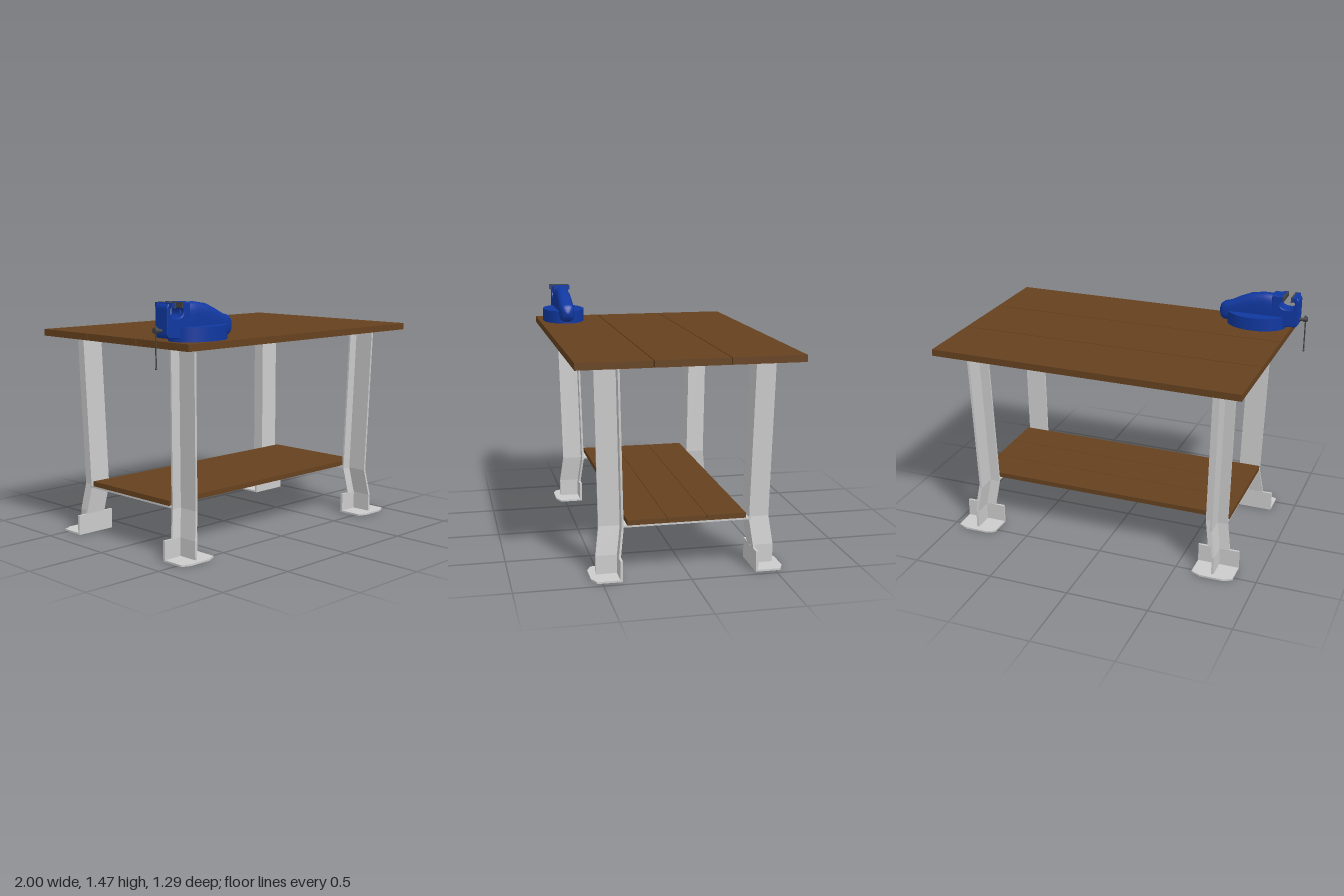
import * as THREE from 'three';

const steel = new THREE.MeshStandardMaterial({ color: 0xcccccc, flatShading: true, side: THREE.DoubleSide });
const wood = new THREE.MeshStandardMaterial({ color: 0x66421f });
const blue = new THREE.MeshStandardMaterial({ color: 0x1038a0 });
const dark = new THREE.MeshStandardMaterial({ color: 0x444444 });

const CX = 0.05;       // centre of the table in x
const LEG_X = 0.785;   // leg distance from that centre
const VZ = 0.483;      // vise centre in z

function add(parent, name, geometry, material) {
  const mesh = new THREE.Mesh(geometry, material);
  mesh.name = name;
  parent.add(mesh);
  return mesh;
}

// Box given by its minimum and maximum on each axis
function box(parent, name, material, x0, x1, y0, y1, z0, z1) {
  const g = new THREE.BoxGeometry(x1 - x0, y1 - y0, z1 - z0);
  g.translate((x0 + x1) / 2, (y0 + y1) / 2, (z0 + z1) / 2);
  return add(parent, name, g, material);
}

// Upright bar bent inward at the waist
function bentBar(w, d, cx, cz, sx, sz) {
  const levels = [[0, 0], [0.12, 0], [0.285, 0.025], [1.205, 0]];
  const g = new THREE.BoxGeometry(w, 3, d, 1, 3, 1);
  const p = g.attributes.position;
  for (let i = 0; i < p.count; i++) {
    const [y, shift] = levels[Math.round(p.getY(i) + 1.5)];
    p.setXYZ(i, p.getX(i) + cx - sx * shift, y, p.getZ(i) + cz - sz * shift * 0.85);
  }
  g.computeVertexNormals();
  return g;
}

// T-section leg with an upright foot plate and a chamfered base plate
function leg(sx, sz) {
  const group = new THREE.Group();
  group.name = 'leg';
  const x = CX + sx * LEG_X;
  add(group, 'legFlange', bentBar(0.136, 0.012, x, sz * 0.391, sx, sz), steel);
  add(group, 'legWeb', bentBar(0.014, 0.125, x, sz * 0.457, sx, sz), steel);
  const foot = new THREE.BoxGeometry(0.254, 0.122, 0.014);
  foot.translate(x, 0.061, sz * 0.391);
  add(group, 'footUpright', foot, steel);
  const outline = [[-0.127, 0.385], [0.127, 0.385], [0.127, 0.53], [0.07, 0.556], [-0.07, 0.556], [-0.127, 0.53]];
  const shape = new THREE.Shape(outline.map(([u, v]) => new THREE.Vector2(x + u, sz * v)));
  const base = new THREE.ExtrudeGeometry(shape, { depth: 0.011, bevelEnabled: false });
  base.rotateX(Math.PI / 2).translate(0, 0.011, 0);
  add(group, 'footBase', base, steel);
  return group;
}

// Rounded body lofted along x; stations are [x, top, bottom, half width]
function loft(stations, zc, sides = 28) {
  const pos = [], idx = [];
  const soft = (v) => Math.sign(v) * Math.pow(Math.abs(v), 0.7);
  for (const [x, top, bottom, hw] of stations) {
    for (let j = 0; j < sides; j++) {
      const a = (j / sides) * Math.PI * 2;
      pos.push(x, (top + bottom) / 2 + soft(Math.sin(a)) * (top - bottom) / 2, zc + soft(Math.cos(a)) * hw);
    }
  }
  for (let i = 0; i < stations.length - 1; i++) {
    for (let j = 0; j < sides; j++) {
      const k = (j + 1) % sides;
      const a = i * sides + j, b = a + sides, c = i * sides + k, d = c + sides;
      idx.push(a, b, c, b, d, c);
    }
  }
  const g = new THREE.BufferGeometry();
  g.setAttribute('position', new THREE.Float32BufferAttribute(pos, 3));
  g.setIndex(idx);
  g.computeVertexNormals();
  return g;
}

function vise() {
  const group = new THREE.Group();
  group.name = 'vise';

  // Oval base on the tabletop
  const base = new THREE.CylinderGeometry(1, 1, 0.08, 48);
  base.scale(0.188, 1, 0.134).translate(-0.68, 1.29, VZ);
  add(group, 'viseBase', base, blue);

  // Rounded rear body
  add(group, 'viseBody', loft([
    [-0.835, 1.43, 1.29, 0.03], [-0.815, 1.462, 1.265, 0.05], [-0.72, 1.463, 1.262, 0.05],
    [-0.64, 1.45, 1.262, 0.05], [-0.57, 1.42, 1.262, 0.05], [-0.51, 1.388, 1.262, 0.05],
    [-0.47, 1.378, 1.264, 0.046], [-0.45, 1.362, 1.278, 0.033], [-0.441, 1.335, 1.305, 0.014], [-0.439, 1.32, 1.32, 0],
  ], VZ), blue);

  // Jaws around a rounded throat
  const s = new THREE.Shape();
  s.moveTo(-0.95, 1.3);
  s.quadraticCurveTo(-0.95, 1.275, -0.925, 1.272);
  s.lineTo(-0.78, 1.265);
  s.lineTo(-0.78, 1.465);
  s.lineTo(-0.85, 1.465);
  s.lineTo(-0.858, 1.44);
  s.quadraticCurveTo(-0.832, 1.44, -0.832, 1.412);
  s.quadraticCurveTo(-0.832, 1.38, -0.878, 1.38);
  s.quadraticCurveTo(-0.924, 1.38, -0.924, 1.412);
  s.quadraticCurveTo(-0.924, 1.44, -0.908, 1.44);
  s.lineTo(-0.908, 1.465);
  s.quadraticCurveTo(-0.95, 1.465, -0.95, 1.43);
  const jaw = new THREE.ExtrudeGeometry(s, {
    depth: 0.084, bevelThickness: 0.008, bevelSize: 0.006, bevelOffset: -0.006, bevelSegments: 3, curveSegments: 10,
  });
  jaw.translate(0, 0, VZ - 0.042);
  add(group, 'viseJaws', jaw, blue);
  for (const [x0, x1, p0, p1] of [[-0.935, -0.912, -0.912, -0.902], [-0.85, -0.828, -0.86, -0.85]]) {
    box(group, 'jawHead', blue, x0, x1, 1.438, 1.464, VZ - 0.064, VZ + 0.064);
    box(group, 'jawPlate', dark, p0, p1, 1.436, 1.466, VZ - 0.066, VZ + 0.066);
  }

  // Screw with its hanging handle
  const screw = new THREE.CylinderGeometry(0.01, 0.01, 0.04, 16);
  screw.rotateZ(Math.PI / 2).translate(-0.96, 1.315, VZ);
  add(group, 'viseScrew', screw, dark);
  const head = new THREE.CylinderGeometry(0.016, 0.016, 0.024, 16);
  head.rotateZ(Math.PI / 2).translate(-0.988, 1.318, VZ);
  add(group, 'screwHead', head, dark);
  const bar = new THREE.CylinderGeometry(0.004, 0.004, 0.225, 10);
  bar.translate(-0.988, 1.225, VZ);
  add(group, 'handleBar', bar, dark);
  for (const y of [1.114, 1.336]) {
    const end = new THREE.SphereGeometry(0.007, 12, 8);
    end.translate(-0.988, y, VZ);
    add(group, 'handleEnd', end, dark);
  }
  return group;
}

export function createModel() {
  const model = new THREE.Group();
  model.name = 'workbench';

  // Three boards each for the tabletop and the shelf
  for (const i of [-1, 0, 1]) {
    const zt = i * 0.431, zs = i * 0.23;
    box(model, 'topBoard', wood, -0.9, 1, 1.21, 1.25, zt - 0.2125, zt + 0.2125);
    box(model, 'shelfBoard', wood, -0.78, 0.88, 0.3, 0.33, zs - 0.1135, zs + 0.1135);
  }

  // Legs and the flat bars joining them
  for (const sx of [-1, 1]) {
    const x = CX + sx * LEG_X, xw = x - sx * 0.025;
    for (const sz of [-1, 1]) model.add(leg(sx, sz));
    box(model, 'topCrossBar', steel, x - 0.068, x + 0.068, 1.198, 1.21, -0.387, 0.387);
    box(model, 'shelfCrossBar', steel, xw - 0.068, xw + 0.068, 0.288, 0.3, -0.368, 0.368);
    const z = sx * 0.452;
    box(model, 'topLongBar', steel, CX - LEG_X, CX + LEG_X, 1.198, 1.21, z - 0.067, z + 0.067);
  }

  model.add(vise());
  return model;
}
